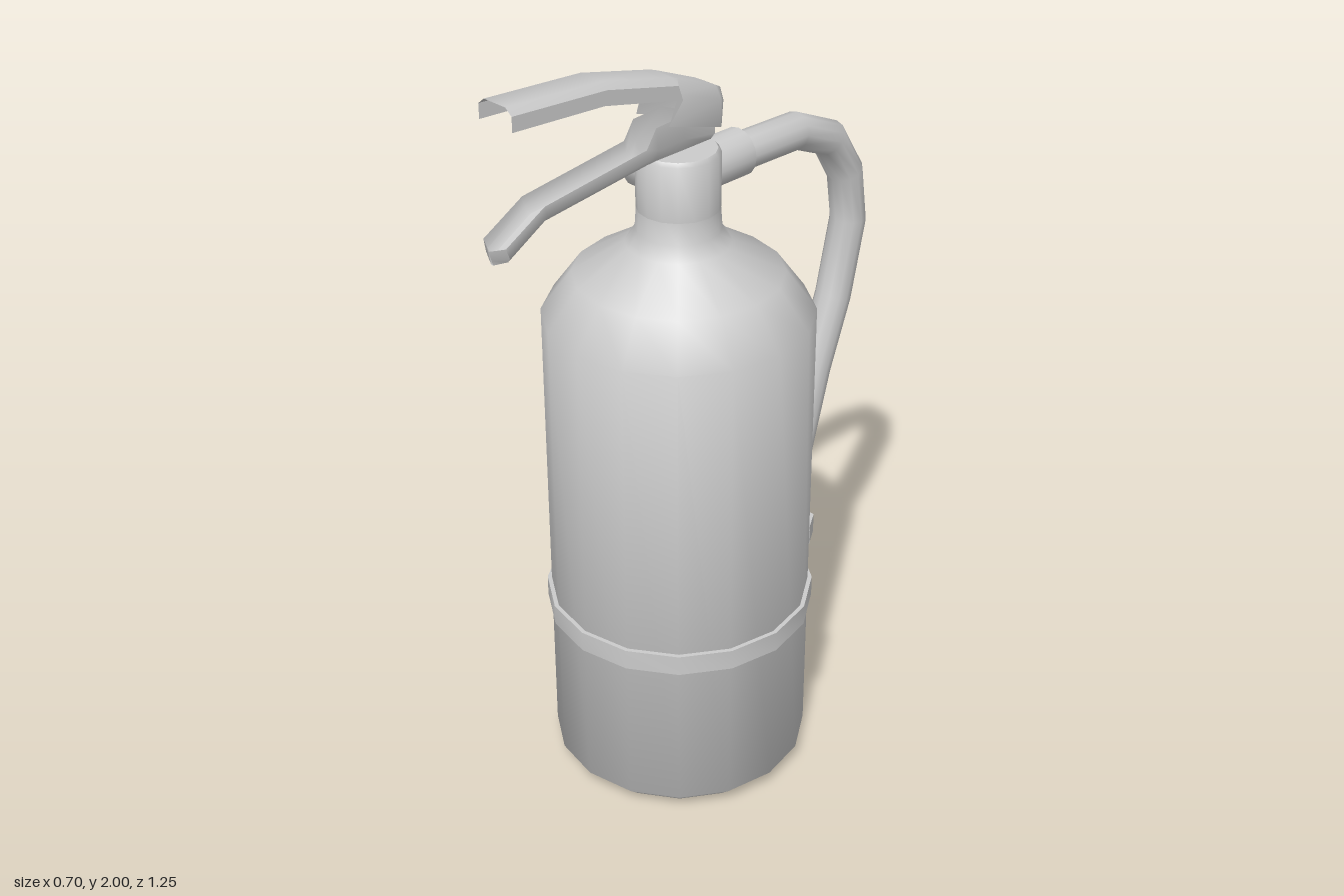
import * as THREE from 'three';
import { toCreasedNormals } from 'three/addons/utils/BufferGeometryUtils.js';

const AXIS_Z = 0.043; // centre line of the bottle

const solid = () => new THREE.MeshStandardMaterial({ color: 0xcccccc });
const sheet = () => new THREE.MeshStandardMaterial({ color: 0xcccccc, side: THREE.DoubleSide });

function part(name, geometry, crease = 0.9, material = solid()) {
  const mesh = new THREE.Mesh(toCreasedNormals(geometry, crease), material);
  mesh.name = name;
  return mesh;
}

function lathe(name, profile, sides = 16, crease = 0.9) {
  const points = profile.map(([r, y]) => new THREE.Vector2(r, y));
  return part(name, new THREE.LatheGeometry(points, sides), crease);
}

// Skin over a list of equal-length cross-sections
function loft(sections) {
  const n = sections[0].length;
  const index = [];
  for (let i = 0; i < sections.length - 1; i++) {
    for (let j = 0; j < n - 1; j++) {
      const a = i * n + j, b = a + 1, c = a + n, d = c + 1;
      index.push(a, b, c, b, d, c);
    }
  }
  const geometry = new THREE.BufferGeometry();
  geometry.setAttribute('position', new THREE.Float32BufferAttribute(sections.flat(2), 3));
  geometry.setIndex(index);
  geometry.computeVertexNormals();
  return geometry;
}

// Round hose along [z, y] points
function hoseGeometry(path, radius, sides = 12) {
  return loft(path.map(([z, y], i) => {
    const p = path[Math.max(i - 1, 0)], q = path[Math.min(i + 1, path.length - 1)];
    const len = Math.hypot(q[0] - p[0], q[1] - p[1]);
    const tz = (q[0] - p[0]) / len, ty = (q[1] - p[1]) / len;
    return Array.from({ length: sides + 1 }, (_, j) => {
      const a = (j / sides) * Math.PI * 2;
      const s = Math.sin(a) * radius;
      return [Math.cos(a) * radius, y + s * tz, z - s * ty];
    });
  }));
}

// Pressed-metal channel; stations are [web z, web y, edge z, edge y, half width]
function channelGeometry(stations, bevel) {
  return loft(stations.map(([wz, wy, ez, ey, w]) => {
    const bz = wz + (ez - wz) * bevel, by = wy + (ey - wy) * bevel;
    return [[-w, ey, ez], [-w, by, bz], [-w * 0.65, wy, wz],
      [w * 0.65, wy, wz], [w, by, bz], [w, ey, ez]];
  }));
}

export function createModel() {
  const model = new THREE.Group();
  model.name = 'fireExtinguisher';

  // Bottle, valve and strap share one upright axis
  const body = new THREE.Group();
  body.name = 'body';
  body.position.z = AXIS_Z;
  body.add(lathe('bottle', [[0, 0], [0.29, 0], [0.337, 0.045], [0.337, 1.31],
    [0.26, 1.415], [0.13, 1.495], [0.105, 1.53], [0.1, 1.6], [0, 1.6]]));
  body.add(lathe('valve', [[0, 1.585], [0.102, 1.585], [0.102, 1.725], [0.094, 1.735], [0, 1.735]]));
  body.add(lathe('band', [[0.335, 0.457], [0.348, 0.457], [0.348, 0.512], [0.335, 0.512]]));

  // Pressure gauge with recessed face on the right of the valve
  const gauge = lathe('gauge', [[0.063, 0], [0.063, 0.07], [0.058, 0.075], [0.047, 0.075],
    [0.044, 0.055], [0, 0.055]]);
  gauge.rotation.z = Math.PI / 2;
  gauge.position.set(-0.055, 1.662, 0);
  body.add(gauge);
  model.add(body);

  // Hose outlet, hose and nozzle at the back
  const outlet = lathe('hoseOutlet', [[0, 0], [0.061, 0], [0.061, 0.12], [0, 0.12]]);
  outlet.rotation.x = -Math.PI / 2;
  outlet.position.set(0, 1.662, -0.04);
  model.add(outlet);

  const hosePath = [[-0.14, 1.66], [-0.36, 1.656], [-0.487, 1.6], [-0.556, 1.49],
    [-0.577, 1.35], [-0.53, 1.14], [-0.46, 0.95], [-0.398, 0.725], [-0.366, 0.5], [-0.36, 0.42]];
  model.add(part('hose', hoseGeometry(hosePath, 0.048), 1));

  const nozzle = lathe('nozzle', [[0, 0.3], [0.035, 0.3], [0.035, 0.23], [0.046, 0.23],
    [0.047, 0.46], [0, 0.46]], 12);
  nozzle.position.z = -0.355;
  model.add(nozzle);

  // Open hook of strap holding the hose, as [x, z] points
  const hook = new THREE.Group();
  hook.name = 'hoseClip';
  const hookPath = [[0.066, -0.285], [0.08, -0.37], [0.048, -0.42], [-0.055, -0.42]];
  for (let i = 0; i < hookPath.length - 1; i++) {
    const [x0, z0] = hookPath[i], [x1, z1] = hookPath[i + 1];
    const length = Math.hypot(x1 - x0, z1 - z0);
    const strip = part('clipStrip', new THREE.BoxGeometry(length + 0.006, 0.055, 0.012));
    strip.position.set((x0 + x1) / 2, 0.485, (z0 + z1) / 2);
    strip.rotation.y = -Math.atan2(z1 - z0, x1 - x0);
    hook.add(strip);
  }
  model.add(hook);

  // Squeeze lever: channel open downwards, rounded at the pivot
  model.add(part('squeezeLever', channelGeometry([
    [0.585, 2.0, 0.585, 1.948, 0.054],
    [0.31, 1.982, 0.32, 1.932, 0.054],
    [0.1, 1.932, 0.08, 1.877, 0.054],
    [0.08, 1.925, 0.125, 1.825, 0.054],
    [-0.045, 1.873, -0.045, 1.775, 0.053],
    [-0.07, 1.86, -0.062, 1.767, 0.038],
    [-0.083, 1.845, -0.07, 1.775, 0.005],
  ], 0.3), 0.8, sheet()));

  // Carry handle: channel open upwards, with a pointed closed tip
  model.add(part('carryHandle', channelGeometry([
    [0.615, 1.63, 0.627, 1.668, 0.004],
    [0.59, 1.637, 0.605, 1.678, 0.038],
    [0.48, 1.7, 0.49, 1.742, 0.038],
    [0.17, 1.735, 0.18, 1.78, 0.038],
    [0.14, 1.737, 0.15, 1.825, 0.038],
    [0.06, 1.737, 0.06, 1.83, 0.038],
    [-0.04, 1.738, -0.04, 1.79, 0.038],
  ], 0.35), 0.8, sheet()));

  return model;
}
